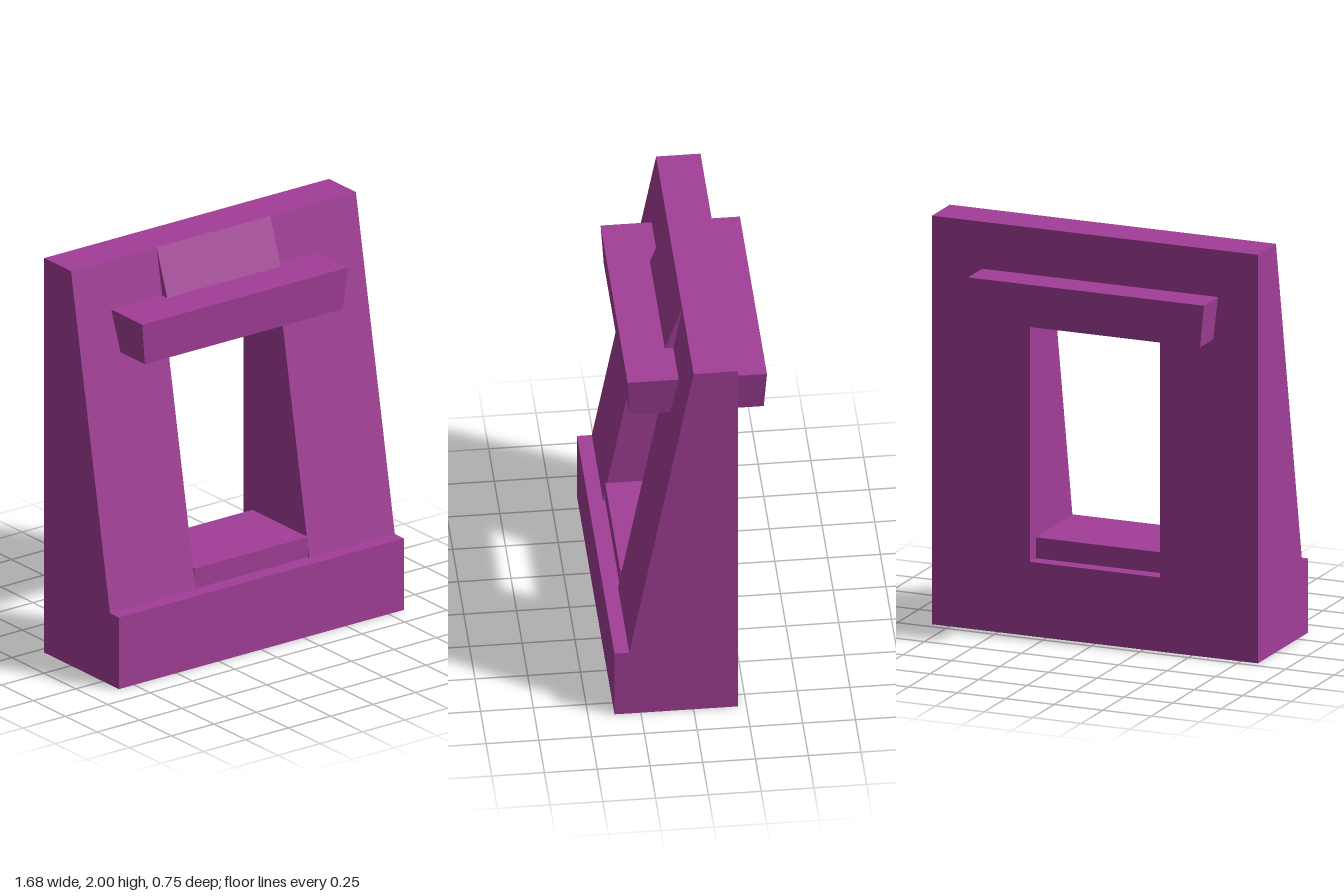
import * as THREE from 'three';

const HALF = 0.84;    // half width of the frame
const OPEN = 0.335;   // half width of the opening
const BACK = -0.21;   // plane of the back face

export function createModel() {
  const group = new THREE.Group();
  const purple = new THREE.MeshStandardMaterial({ color: 0xa23e97 });

  // Side profile of [z, y] points, extruded from x0 to x1
  function slab(name, profile, x0, x1) {
    const shape = new THREE.Shape(profile.map(([z, y]) => new THREE.Vector2(z, y)));
    const geo = new THREE.ExtrudeGeometry(shape, { depth: x1 - x0, bevelEnabled: false });
    geo.rotateY(-Math.PI / 2).translate(x1, 0, 0);
    const mesh = new THREE.Mesh(geo, purple);
    mesh.name = name;
    group.add(mesh);
  }

  // Sloping side posts, each with its part of the stepped base
  const post = [[BACK, 0], [0.375, 0], [0.375, 0.363], [0.305, 0.363], [0, 2], [BACK, 2]];
  slab('rightPost', post, -HALF, -OPEN);
  slab('leftPost', post, OPEN, HALF);

  // Base between the posts
  slab('baseCentre', [[BACK, 0], [0.375, 0], [0.375, 0.363], [BACK, 0.363]], -OPEN, OPEN);

  // Raised sill, set back from the rear face
  slab('sill', [[-0.14, 0.363], [0.295, 0.363], [0.295, 0.465], [-0.14, 0.465]], -OPEN, OPEN);

  // Lintel, with a front that stands proud of the posts
  slab('lintel', [[BACK, 1.562], [0.083, 1.562], [0.083, 1.77], [0, 2], [BACK, 2]], -OPEN, OPEN);

  // Cross bar through the frame, narrower at the bottom
  const barGeo = new THREE.BoxGeometry(1.215, 0.21, 0.66);
  const pos = barGeo.attributes.position;
  for (let i = 0; i < pos.count; i++) {
    if (pos.getY(i) < 0) {
      pos.setX(i, pos.getX(i) * 0.959);
      pos.setZ(i, pos.getZ(i) * 0.962);
    }
  }
  barGeo.computeVertexNormals();
  const bar = new THREE.Mesh(barGeo, purple);
  bar.name = 'crossBar';
  bar.position.set(-0.027, 1.665, -0.045);
  group.add(bar);

  return group;
}
